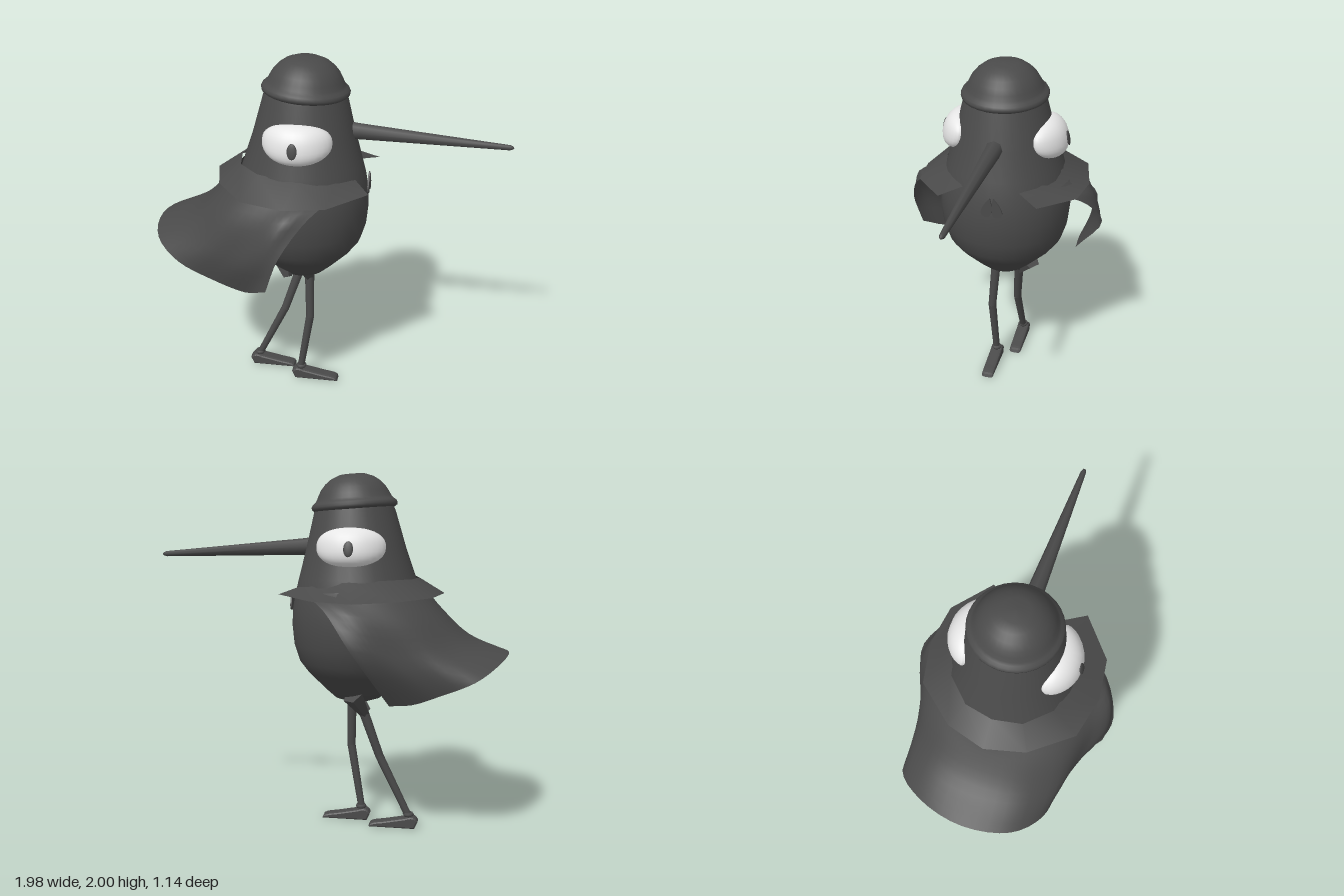
import * as THREE from 'three';

const ZC = -0.015; // side-to-side centre line of the bird
const V = (p) => new THREE.Vector3(...p);

const charcoal = new THREE.MeshStandardMaterial({ color: 0x4a4a4a, side: THREE.DoubleSide });
charcoal.name = 'charcoal';
const eyeWhite = new THREE.MeshStandardMaterial({ color: 0xe6e6e6 });
eyeWhite.name = 'eye white';

function add(parent, name, geometry, material = charcoal) {
  const mesh = new THREE.Mesh(geometry, material);
  mesh.name = name;
  parent.add(mesh);
  return mesh;
}

// Complete a half list of columns (front edge to spine) with its mirror image
function mirrorColumns(half) {
  const flip = ([x, y, z]) => [x, y, 2 * ZC - z];
  return [...half, ...half.slice(0, -1).reverse().map((col) => col.map(flip))];
}

// Surface through columns of points, subdivided smoothly both ways
function sheet(columns, across, down) {
  const curves = columns.map((c) => new THREE.CatmullRomCurve3(c.map(V)));
  const positions = [], index = [];
  for (let j = 0; j <= down; j++) {
    const row = new THREE.CatmullRomCurve3(curves.map((c) => c.getPoint(j / down)));
    for (let i = 0; i <= across; i++) positions.push(...row.getPoint(i / across).toArray());
  }
  const w = across + 1;
  for (let j = 0; j < down; j++) for (let i = 0; i < across; i++) {
    const a = j * w + i, b = a + 1, c = a + w, d = c + 1;
    index.push(a, b, c, b, d, c);
  }
  const g = new THREE.BufferGeometry();
  g.setAttribute('position', new THREE.Float32BufferAttribute(positions, 3));
  g.setIndex(index);
  g.computeVertexNormals();
  return g;
}

function lathe(points, segments) {
  return new THREE.LatheGeometry(points.map(([r, y]) => new THREE.Vector2(r, y)), segments);
}

// Tapered round limb between two points
function limb(a, b, ra, rb, sides = 10) {
  const A = V(a), B = V(b), d = B.clone().sub(A);
  const g = new THREE.CylinderGeometry(rb, ra, d.length(), sides);
  g.applyQuaternion(new THREE.Quaternion().setFromUnitVectors(new THREE.Vector3(0, 1, 0), d.normalize()));
  return g.translate(...A.add(B).multiplyScalar(0.5).toArray());
}

function leg(parent, name, hip, knee, ankle) {
  const g = new THREE.Group();
  g.name = name;
  parent.add(g);
  add(g, 'thigh', limb(hip, knee, 0.028, 0.024));
  add(g, 'kneeJoint', new THREE.SphereGeometry(0.024, 10, 8)).position.set(...knee);
  add(g, 'shin', limb(knee, ankle, 0.024, 0.02));
  // cuff around the ankle
  const cuff = add(g, 'ankleCuff', new THREE.TorusGeometry(0.02, 0.012, 6, 12));
  cuff.rotation.x = Math.PI / 2;
  cuff.position.set(ankle[0] + 0.005, 0.08, ankle[2]);
  // wedge shoe pointing forwards
  const side = new THREE.Shape();
  side.moveTo(-0.035, 0.01);
  side.lineTo(-0.05, 0.045);
  side.quadraticCurveTo(-0.035, 0.075, 0.01, 0.055);
  side.lineTo(0.14, 0.03);
  side.quadraticCurveTo(0.212, 0.022, 0.212, 0.01);
  const shoe = new THREE.ExtrudeGeometry(side, {
    depth: 0.04, bevelThickness: 0.016, bevelSize: 0.009, bevelSegments: 2, curveSegments: 5,
  });
  add(g, 'shoe', shoe).position.set(ankle[0] + 0.01, 0, ankle[2] - 0.02);
}

export function createModel() {
  const model = new THREE.Group();
  model.name = 'capedBird';

  // Pear-shaped body and head in one piece, the head shifted slightly forwards
  const body = lathe([
    [0, 0.735], [0.08, 0.738], [0.13, 0.755], [0.18, 0.8], [0.235, 0.855], [0.285, 0.905], [0.33, 0.965],
    [0.36, 1.06], [0.371, 1.17], [0.367, 1.26], [0.352, 1.35], [0.328, 1.43],
    [0.277, 1.6], [0.225, 1.8], [0.2, 1.86],
  ], 32);
  const bp = body.attributes.position;
  for (let i = 0; i < bp.count; i++) {
    bp.setX(i, bp.getX(i) - 0.15 + 0.02 * THREE.MathUtils.clamp((bp.getY(i) - 1.35) / 0.4, 0, 1));
  }
  add(model, 'body', body).position.z = ZC;

  // Cap: dome flowing into a rounded brim, tipped forwards
  const cap = add(model, 'cap', lathe([
    [0.2, -0.018], [0.222, -0.025], [0.236, -0.016], [0.239, -0.002], [0.232, 0.012], [0.218, 0.022],
    [0.207, 0.036], [0.196, 0.06], [0.179, 0.09], [0.153, 0.12], [0.117, 0.147], [0.07, 0.165], [0, 0.168],
  ], 32));
  cap.position.set(-0.126, 1.833, ZC);
  cap.rotation.z = -0.075;

  // Wide eyes wrapped around the sides of the head and leaning with its slope
  for (const [s, label] of [[1, 'right'], [-1, 'left']]) {
    const eye = new THREE.SphereGeometry(1, 28, 18);
    const p = eye.attributes.position;
    for (let i = 0; i < p.count; i++) {
      const soft = (v) => Math.sign(v) * Math.abs(v) ** 0.88;
      const x = 0.187 * soft(p.getX(i)), y = 0.103 * soft(p.getY(i));
      p.setXYZ(i, x, y, 0.08 * p.getZ(i) - s * (1.5 * x * x + 0.2 * y));
    }
    eye.computeVertexNormals();
    add(model, label + 'Eye', eye, eyeWhite).position.set(-0.135, 1.607, ZC + s * 0.27);
    const pupil = add(model, label + 'Pupil', new THREE.SphereGeometry(1, 16, 10));
    pupil.scale.set(0.026, 0.042, 0.008);
    pupil.position.set(-0.137, 1.6, ZC + s * 0.35);
    pupil.rotation.x = -s * 0.2;
  }

  // Long straight beak
  const beak = lathe([[0.05, 0], [0.046, 0.05], [0.015, 0.85], [0.008, 0.867], [0, 0.872]], 8);
  const beakMesh = add(model, 'beak', beak);
  beakMesh.rotation.z = -Math.PI / 2 - 0.055;
  beakMesh.position.set(0.115, 1.604, -0.022);

  // Wind-blown cape: columns run from neck to hem, from one front edge round to the other
  const cape = [
    [[0.12, 1.36, 0.26], [-0.03, 1.29, 0.46], [-0.17, 1.1, 0.56], [-0.25, 0.885, 0.54]],
    [[-0.02, 1.37, 0.34], [-0.15, 1.28, 0.51], [-0.27, 1.08, 0.54], [-0.4, 0.8, 0.42]],
    [[-0.2, 1.38, 0.37], [-0.3, 1.25, 0.46], [-0.42, 1.05, 0.46], [-0.59, 0.85, 0.395]],
    [[-0.38, 1.38, 0.3], [-0.5, 1.24, 0.37], [-0.62, 1.06, 0.39], [-0.78, 0.93, 0.37]],
    [[-0.48, 1.38, 0.16], [-0.6, 1.245, 0.2], [-0.74, 1.1, 0.23], [-0.93, 1.0, 0.24]],
    [[-0.52, 1.38, ZC], [-0.63, 1.245, ZC], [-0.78, 1.11, ZC], [-0.99, 1.03, ZC]],
    [[-0.48, 1.38, -0.19], [-0.6, 1.245, -0.23], [-0.74, 1.1, -0.26], [-0.93, 1.0, -0.28]],
    [[-0.38, 1.38, -0.33], [-0.5, 1.24, -0.39], [-0.62, 1.06, -0.42], [-0.8, 0.93, -0.45]],
    [[-0.2, 1.38, -0.4], [-0.3, 1.25, -0.48], [-0.42, 1.05, -0.48], [-0.62, 0.85, -0.43]],
    [[-0.02, 1.37, -0.37], [-0.15, 1.27, -0.51], [-0.28, 1.08, -0.54], [-0.48, 0.795, -0.4]],
    [[0.12, 1.36, -0.29], [-0.02, 1.29, -0.46], [-0.17, 1.1, -0.575], [-0.36, 0.785, -0.4]],
  ];
  add(model, 'cape', sheet(cape, 40, 12));

  // Collar with a straight-sided outline, open at the chest
  const collar = mirrorColumns([
    [[0.165, 1.385, 0.14], [0.25, 1.355, 0.255]],
    [[0.07, 1.4, 0.24], [0.05, 1.335, 0.43]],
    [[-0.12, 1.425, 0.32], [-0.17, 1.325, 0.46]],
    [[-0.34, 1.435, 0.265], [-0.4, 1.335, 0.41]],
    [[-0.46, 1.435, 0.14], [-0.57, 1.34, 0.2]],
    [[-0.49, 1.435, ZC], [-0.63, 1.35, ZC]],
  ]);
  add(model, 'collar', sheet(collar, 10, 1));

  // Pair of small drop-shaped ties on the chest
  for (const s of [1, -1]) {
    const drop = new THREE.Shape();
    drop.moveTo(0, 0.06);
    drop.bezierCurveTo(0.03, 0.01, 0.045, -0.055, 0, -0.055);
    drop.bezierCurveTo(-0.045, -0.055, -0.03, 0.01, 0, 0.06);
    const tie = add(model, 'chestTie', new THREE.ExtrudeGeometry(drop, { depth: 0.009, bevelEnabled: false }));
    tie.rotation.set(0, Math.PI / 2, 0);
    tie.rotateZ(-s * 0.25);
    tie.position.set(0.216, 1.305, -0.035 + s * 0.024);
  }

  // Legs in mid-stride, with ragged feather tufts at the hips
  leg(model, 'rightLeg', [-0.11, 0.78, 0.03], [-0.105, 0.45, 0.055], [-0.17, 0.06, 0.045]);
  leg(model, 'leftLeg', [-0.185, 0.7, -0.09], [-0.28, 0.42, -0.06], [-0.455, 0.06, -0.06]);
  const tufts = [
    [[-0.13, 0.82, 0.08], [-0.11, 0.7, 0.03]], [[-0.24, 0.82, 0.1], [-0.22, 0.75, 0.13]],
    [[-0.14, 0.79, -0.17], [-0.2, 0.665, -0.085]], [[-0.12, 0.78, -0.07], [-0.21, 0.68, -0.09]],
  ];
  for (const [root, tip] of tufts) {
    const tuft = limb(root, tip, 0.06, 0.027, 5).toNonIndexed();
    tuft.computeVertexNormals();
    add(model, 'hipTuft', tuft);
  }
  return model;
}
